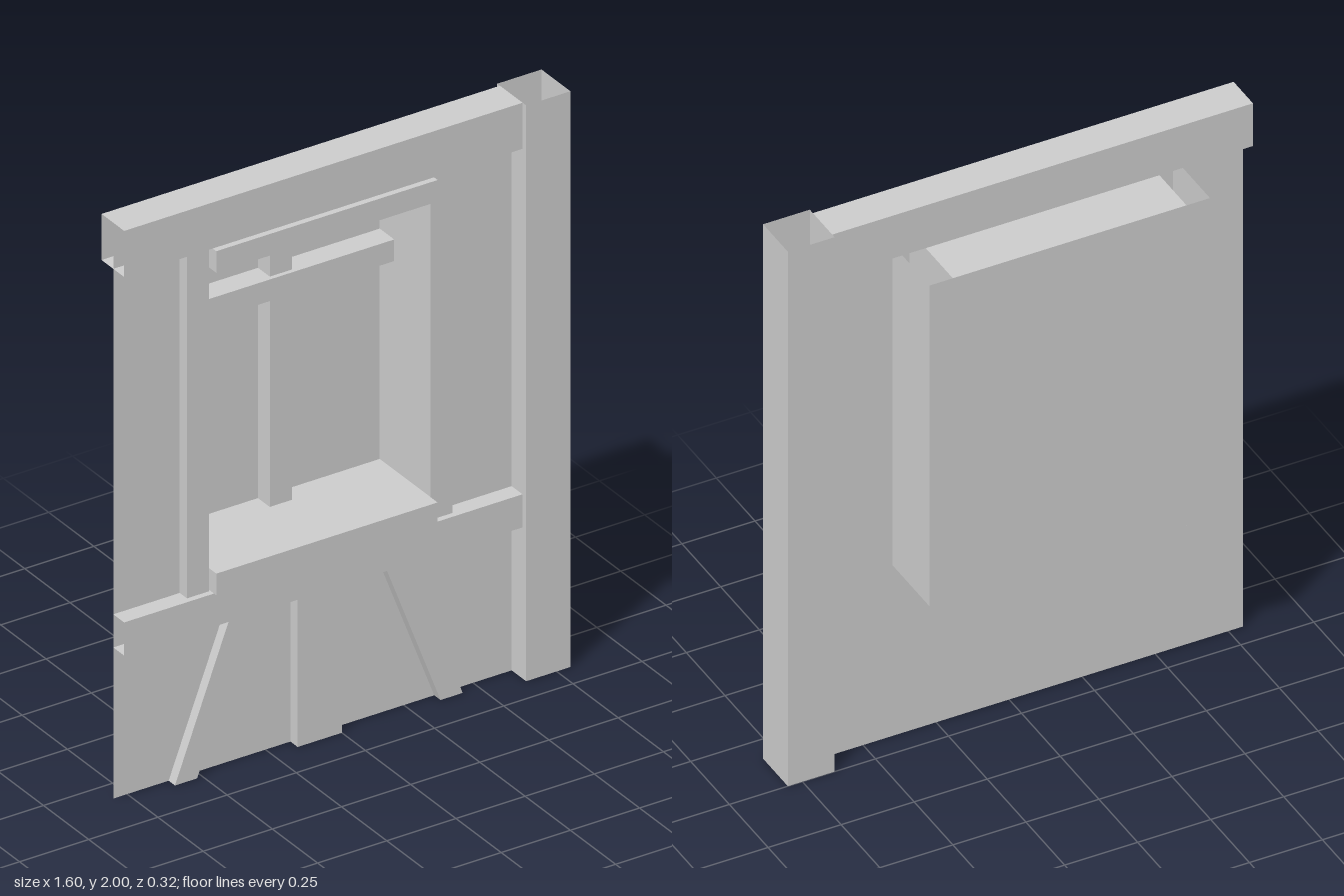
import * as THREE from 'three';

const material = new THREE.MeshStandardMaterial({
  color: 0xcccccc, flatShading: true, side: THREE.DoubleSide,
});

// Box between two corners; openAxis ('x' or 'y') leaves both ends on that axis open.
function timberGeometry([x0, y0, z0], [x1, y1, z1], openAxis) {
  const geo = new THREE.BoxGeometry(x1 - x0, y1 - y0, z1 - z0);
  geo.translate((x0 + x1) / 2, (y0 + y1) / 2, (z0 + z1) / 2);
  if (openAxis) {
    const first = openAxis === 'x' ? 0 : 2; // first of the two end faces
    const index = Array.from(geo.index.array);
    index.splice(first * 6, 12);
    geo.setIndex(index);
    geo.clearGroups();
  }
  return geo;
}

export function createModel() {
  const model = new THREE.Group();
  const add = (name, geo) => {
    const mesh = new THREE.Mesh(geo, material);
    mesh.name = name;
    model.add(mesh);
  };
  const timber = (name, min, max, openAxis) =>
    add(name, timberGeometry(min, max, openAxis));

  // Thin wall sheet with the window opening
  const sheet = new THREE.Shape();
  sheet.moveTo(-0.8, 0).lineTo(0.72, 0).lineTo(0.72, 1.92).lineTo(-0.8, 1.92).closePath();
  const opening = new THREE.Path();
  opening.moveTo(-0.52, 0.68).lineTo(-0.52, 1.8).lineTo(0.36, 1.8).lineTo(0.36, 0.68).closePath();
  sheet.holes.push(opening);
  add('wall', new THREE.ShapeGeometry(sheet).translate(0, 0, 0.08));

  // Corner post and horizontal beams, hollow with open ends
  timber('cornerPost', [0.64, 0, 0], [0.8, 2, 0.16], 'y');
  timber('topBeam', [-0.8, 1.84, 0.015], [0.64, 2, 0.14], 'x');
  timber('middleBeam', [-0.8, 0.525, 0.08], [0.64, 0.64, 0.14], 'x');

  // Window frame: deep jambs, lintel and sill
  for (const [name, x] of [['rightJamb', -0.56], ['leftJamb', 0.32]]) {
    timber(name, [x, 0.64, -0.16], [x + 0.08, 1.84, 0.12], 'y');
  }
  for (const [name, y] of [['sill', 0.645], ['lintel', 1.765]]) {
    timber(name, [-0.48, y, -0.16], [0.32, y + 0.075, 0.16]);
  }

  // Window pane and its crossing bars
  add('pane', new THREE.PlaneGeometry(0.8, 1.045).translate(-0.08, 1.2425, -0.16));
  timber('verticalBar', [-0.12, 0.72, -0.16], [-0.04, 1.765, -0.095], 'y');
  timber('crossBar', [-0.48, 1.445, -0.16], [0.32, 1.52, -0.08], 'x');

  // Lower stud, and slanted braces sheared sideways towards the ground
  timber('centreStud', [-0.16, 0, 0.08], [0, 0.525, 0.12], 'y');
  for (const [name, x, shift] of [['rightBrace', -0.4, -0.2], ['leftBrace', 0.16, 0.2]]) {
    const geo = timberGeometry([x, 0, 0.08], [x + 0.08, 0.525, 0.115], 'y');
    const pos = geo.attributes.position;
    for (let i = 0; i < pos.count; i++) {
      pos.setX(i, pos.getX(i) + shift * (1 - pos.getY(i) / 0.525));
    }
    geo.computeVertexNormals();
    add(name, geo);
  }

  return model;
}
